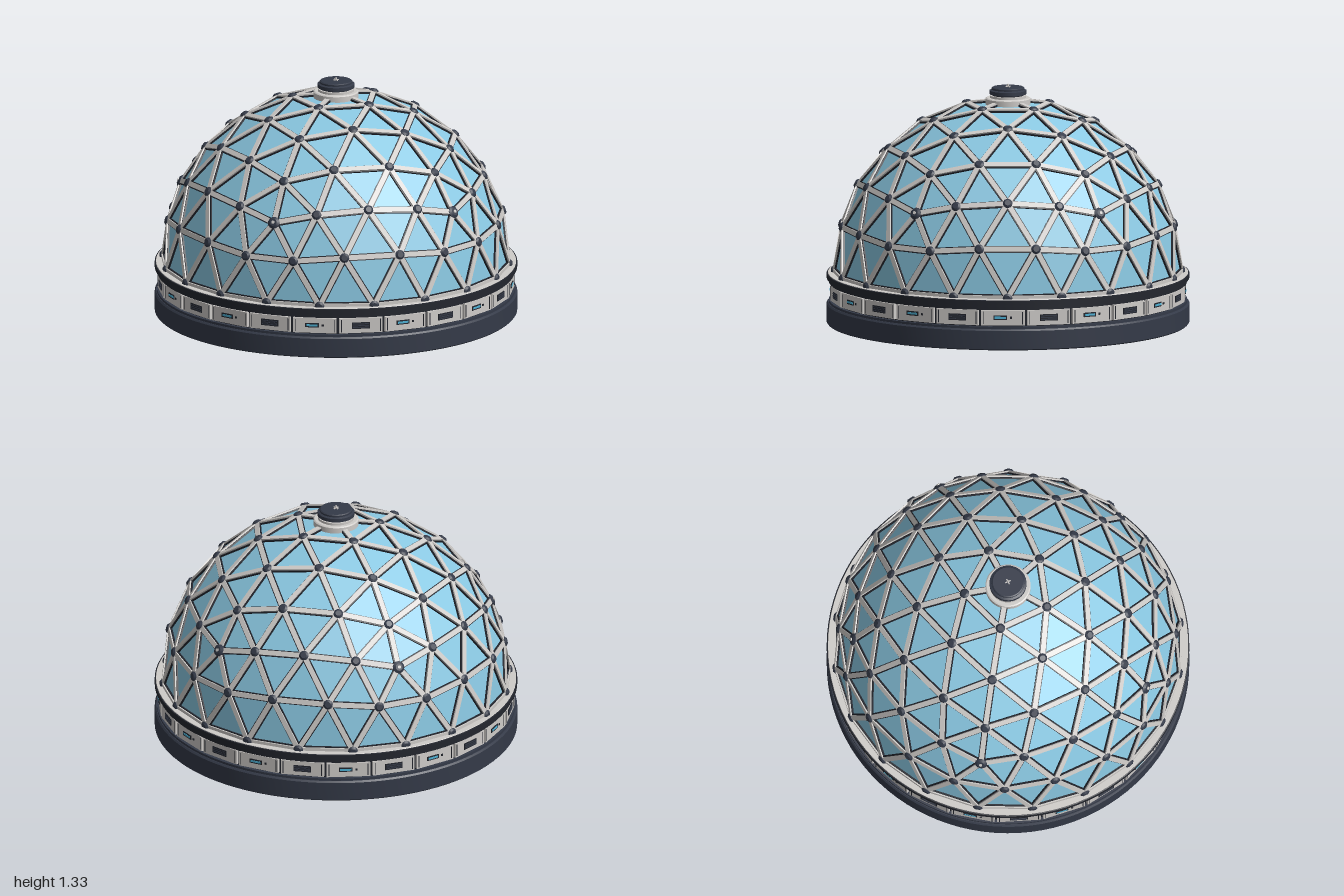
import * as THREE from 'three';
import { mergeGeometries, toCreasedNormals } from 'three/addons/utils/BufferGeometryUtils.js';

const R = 0.95, CY = 0.285, FREQ = 4, PANELS = 24;

const mat = (name, color, extra = {}) => {
  const m = new THREE.MeshStandardMaterial({ color, ...extra });
  m.name = name;
  return m;
};

export function createModel() {
  const glass = mat('glass blue', 0x8ac8e2, { flatShading: true });
  const light = mat('light grey', 0xcfccc9);
  const dark = mat('dark slate', 0x343a48);
  const trim = mat('trim black', 0x23262e);
  const floorGrey = mat('floor grey', 0x606066);
  const cyan = mat('window cyan', 0x4fb4d8);

  const model = new THREE.Group();
  const add = (name, geo, material, parent = model) => {
    const mesh = new THREE.Mesh(geo, material);
    mesh.name = name;
    parent.add(mesh);
    return mesh;
  };
  // Turned part from [radius, height] pairs; rising points face outward
  const turned = (name, pts, material, sides = 96) => add(name,
    toCreasedNormals(new THREE.LatheGeometry(pts.map(p => new THREE.Vector2(...p)), sides), 0.5), material);

  // Geodesic net: icosahedron with a vertex at the top, cut at the equator
  const ring = (k, y, turn) => {
    const a = (k + turn) * Math.PI * 2 / 5, r = Math.sqrt(1 - y * y);
    return new THREE.Vector3(r * Math.cos(a), y, r * Math.sin(a));
  };
  const h = Math.sqrt(0.2), top = new THREE.Vector3(0, 1, 0);
  const faces = [];
  for (let k = 0; k < 5; k++) {
    const u0 = ring(k, h, 0), u1 = ring(k + 1, h, 0);
    const l0 = ring(k, -h, 0.5), l1 = ring(k + 1, -h, 0.5);
    faces.push([top, u1, u0], [u0, u1, l0], [u1, l1, l0]);
  }
  const nodes = new Map(), edges = new Map(), panes = [];
  const key = p => p.toArray().map(v => Math.round(v * 1000) + 0).join();
  const addTriangle = (a, b, c) => {
    if (Math.min(a.y, b.y, c.y) < -0.001) return;
    const n = b.clone().sub(a).cross(c.clone().sub(a));
    if (n.dot(a) < 0) [b, c] = [c, b];
    panes.push(...a.toArray(), ...b.toArray(), ...c.toArray());
    [a, b, c].forEach(p => nodes.set(key(p), p));
    [[a, b], [b, c], [c, a]].forEach(e => edges.set(e.map(key).sort().join('|'), e));
  };
  for (const [A, B, C] of faces) {
    const at = (i, j) => new THREE.Vector3()
      .addScaledVector(A, FREQ - i - j).addScaledVector(B, i).addScaledVector(C, j)
      .normalize().multiplyScalar(R);
    for (let i = 0; i < FREQ; i++) for (let j = 0; i + j < FREQ; j++) {
      addTriangle(at(i, j), at(i + 1, j), at(i, j + 1));
      if (i + j < FREQ - 1) addTriangle(at(i + 1, j), at(i + 1, j + 1), at(i, j + 1));
    }
  }

  const dome = new THREE.Group();
  dome.name = 'dome';
  dome.position.y = CY;
  model.add(dome);

  // Glass panes
  const paneGeo = new THREE.BufferGeometry();
  paneGeo.setAttribute('position', new THREE.Float32BufferAttribute(panes, 3));
  paneGeo.computeVertexNormals();
  add('glassPanes', paneGeo, glass, dome);

  // Struts: a light bar on a wider dark gasket along every edge
  const bar = ([a, b], width, depth, lift) => {
    const along = b.clone().sub(a), length = along.length();
    const mid = a.clone().add(b).multiplyScalar(0.5), out = mid.clone().normalize();
    along.normalize();
    const side = out.clone().cross(along);
    const m = new THREE.Matrix4().makeBasis(side, out, along).setPosition(mid.addScaledVector(out, lift));
    return new THREE.BoxGeometry(width, depth, length).applyMatrix4(m);
  };
  const edgeList = [...edges.values()];
  add('strutGaskets', mergeGeometries(edgeList.map(e => bar(e, 0.038, 0.016, 0))), trim, dome);
  add('struts', mergeGeometries(edgeList.map(e => bar(e, 0.027, 0.028, 0.002))), light, dome);

  // Hubs, larger with a light bolt where five struts meet
  const hubs = [], bolts = [];
  for (const p of nodes.values()) {
    const n = p.clone().normalize();
    if (n.y > 0.99) continue;
    const five = Math.abs(n.y - h) < 0.001 && faces.some(f => f.some(v => v.distanceTo(n) < 0.01));
    const r = five ? 0.034 : 0.027;
    const q = new THREE.Quaternion().setFromUnitVectors(top, n);
    const disc = (r0, r1, len, lift) => new THREE.CylinderGeometry(r0, r1, len, 12)
      .translate(0, lift, 0).applyQuaternion(q).translate(p.x, p.y, p.z);
    hubs.push(disc(r, r, 0.036, -0.003), disc(r * 0.6, r, 0.009, 0.0195));
    if (five) bolts.push(disc(0.009, 0.009, 0.006, 0.026));
  }
  add('hubs', mergeGeometries(hubs), dark, dome);
  add('hubBolts', mergeGeometries(bolts), light, dome);

  // Base ring, open underneath, with a recessed floor
  turned('baseRing', [[0.935, 0.1], [0.935, 0], [0.992, 0], [0.998, 0.006],
    [0.998, 0.108], [0.99, 0.117], [0.96, 0.117]], dark);
  add('floor', new THREE.CircleGeometry(0.94, 96).rotateX(Math.PI / 2).translate(0, 0.098, 0), floorGrey);
  turned('bandCore', [[0.966, 0.11], [0.966, 0.24]], trim);
  turned('lowerTrim', [[0.96, 0.117], [0.986, 0.117], [0.986, 0.13], [0.96, 0.13]], dark);
  turned('upperTrim', [[0.96, 0.226], [0.985, 0.226], [0.985, 0.25], [0.998, 0.25],
    [0.998, 0.276], [0.99, 0.279], [0.98, 0.279]], trim);
  turned('ledge', [[0.992, 0.278], [0.99, 0.281], [0.9, 0.281]], light);

  // Band of panels, alternating vents and lit windows
  const band = new THREE.Group();
  band.name = 'panelBand';
  model.add(band);
  for (let i = 0; i < PANELS; i++) {
    const a = (i + 0.5) * Math.PI * 2 / PANELS;
    const panel = new THREE.Group();
    panel.name = i % 2 ? 'ventPanel' : 'windowPanel';
    panel.position.set(0.975 * Math.cos(a), 0.178, 0.975 * Math.sin(a));
    panel.rotation.y = Math.PI / 2 - a;
    band.add(panel);
    const box = (name, w, ht, x, y, z, m) =>
      add(name, new THREE.BoxGeometry(w, ht, 0.006), m, panel).position.set(x, y, z);
    add('plate', new THREE.BoxGeometry(0.24, 0.084, 0.03), light, panel).position.z = -0.015;
    for (const s of [-1, 1]) box('plateSeam', 0.004, 0.07, s * 0.108, 0, -0.002, trim);
    if (i % 2) {
      box('ventFrame', 0.1, 0.036, 0, 0, 0.001, trim);
      for (let k = -1; k <= 1; k++) box('ventSlat', 0.09, 0.005, 0, k * 0.01, 0.003, dark);
    } else {
      box('windowFrame', 0.076, 0.024, -0.015, 0.002, 0.001, trim);
      box('window', 0.062, 0.011, -0.015, 0.002, 0.003, cyan);
      box('lamp', 0.011, 0.011, 0.045, 0.002, 0.001, trim);
    }
  }

  // Crown cap with a small finial
  turned('capCollar', [[0.125, 1.2], [0.125, 1.247], [0.118, 1.252], [0.1, 1.252],
    [0.1, 1.265], [0, 1.265]], light, 32);
  turned('capNeck', [[0.088, 1.26], [0.088, 1.275]], trim, 32);
  turned('capDisc', [[0.085, 1.268], [0.102, 1.272], [0.102, 1.292], [0.09, 1.297],
    [0.09, 1.306], [0.084, 1.31], [0, 1.31]], dark, 32);
  add('finial', new THREE.CylinderGeometry(0.004, 0.006, 0.02, 8).translate(0, 1.318, 0), light);
  for (const t of [0, Math.PI / 2])
    add('finialFoot', new THREE.BoxGeometry(0.032, 0.006, 0.006).rotateY(t).translate(0, 1.312, 0), light);

  return model;
}
